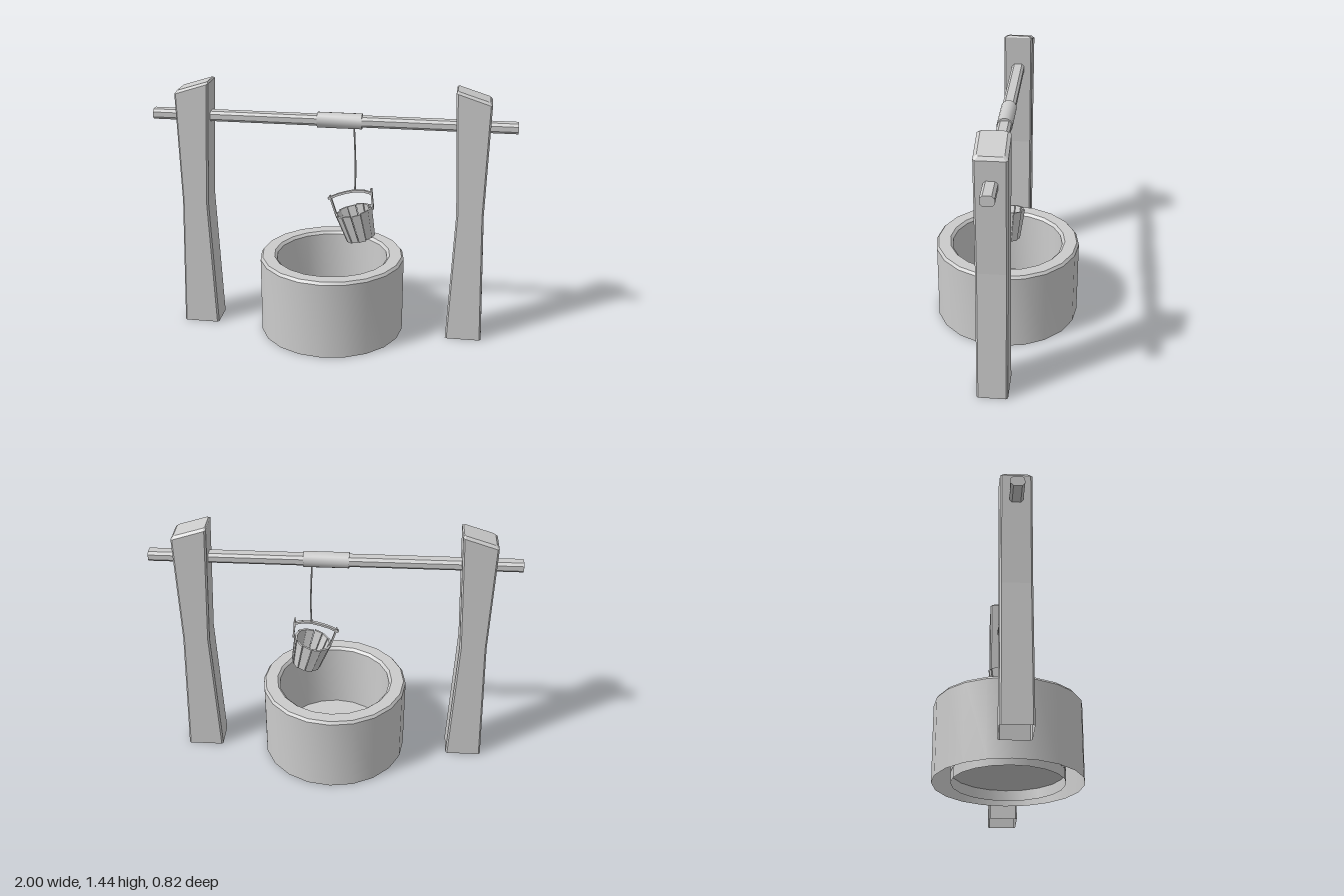
import * as THREE from 'three';
import { toCreasedNormals } from 'three/addons/utils/BufferGeometryUtils.js';

const flat = new THREE.MeshStandardMaterial({ color: 0xcccccc, flatShading: true, side: THREE.DoubleSide });
const smooth = new THREE.MeshStandardMaterial({ color: 0xcccccc, side: THREE.DoubleSide });

function part(parent, name, geometry, material = flat) {
  const mesh = new THREE.Mesh(geometry, material);
  mesh.name = name;
  parent.add(mesh);
  return mesh;
}

// Skin a stack of equal-sized rings (counter-clockwise from above), with optional end caps
function loft(rings, capBottom, capTop) {
  const n = rings[0].length, index = [];
  for (let r = 0; r < rings.length - 1; r++) {
    for (let i = 0; i < n; i++) {
      const j = (i + 1) % n;
      const a = r * n + i, b = r * n + j, c = b + n, d = a + n;
      index.push(a, b, c, a, c, d);
    }
  }
  const top = (rings.length - 1) * n;
  for (let i = 1; i < n - 1; i++) {
    if (capBottom) index.push(0, i + 1, i);
    if (capTop) index.push(top, top + i, top + i + 1);
  }
  const geometry = new THREE.BufferGeometry();
  geometry.setAttribute('position', new THREE.Float32BufferAttribute(rings.flat(2), 3));
  geometry.setIndex(index);
  geometry.computeVertexNormals();
  return geometry;
}

// Chamfered rectangle in x/z whose height slopes from its outer to its inner side
function postRing(yOuter, yInner, outer, inner, h, c) {
  return [
    [outer, h - c], [outer, c - h], [outer - c, -h], [inner + c, -h],
    [inner, c - h], [inner, h - c], [inner + c, h], [outer - c, h],
  ].map(([x, z]) => [x, yOuter + (outer - x) / (outer - inner) * (yInner - yOuter), z]);
}

// Flat bar between two points of the front plane
function bar(parent, name, [x0, y0], [x1, y1], thick, depth) {
  const dx = x1 - x0, dy = y1 - y0;
  const mesh = part(parent, name, new THREE.BoxGeometry(thick, Math.hypot(dx, dy), depth));
  mesh.position.set((x0 + x1) / 2, (y0 + y1) / 2, 0);
  mesh.rotation.z = -Math.atan2(dx, dy);
}

function makeBucket() {
  const bucket = new THREE.Group();
  bucket.name = 'bucket';

  // Tilted tub of separate staves
  const tub = new THREE.Group();
  tub.name = 'tub';
  tub.position.set(0.163, 0.56, 0);
  tub.rotation.z = 0.26;
  bucket.add(tub);
  const count = 12, height = 0.166, thick = 0.012;
  for (let i = 0; i < count; i++) {
    const a0 = (i + 0.04) / count * Math.PI * 2, a1 = (i + 0.96) / count * Math.PI * 2;
    const lift = i % 2 ? 0.003 : 0;
    const ring = (r, y) => [[r, a0], [r + 0.004, a1], [r + 0.004 - thick, a1], [r - thick, a0]]
      .map(([q, a]) => [q * Math.cos(a), y, -q * Math.sin(a)]);
    part(tub, 'stave', loft([ring(0.08, -lift), ring(0.104, height - lift)], true, true));
  }
  const base = part(tub, 'tubBase', new THREE.CylinderGeometry(0.076, 0.074, 0.014, count));
  base.position.y = 0.018;

  // Ears and the arched handle
  bar(bucket, 'ear', [0.03, 0.67], [-0.013, 0.80], 0.009, 0.022);
  bar(bucket, 'ear', [0.232, 0.735], [0.219, 0.855], 0.009, 0.022);
  const arch = [[-0.022, 0.782], [0.03, 0.808], [0.08, 0.825], [0.13, 0.837], [0.18, 0.837], [0.228, 0.825]];
  for (let i = 0; i < arch.length - 1; i++) bar(bucket, 'handle', arch[i], arch[i + 1], 0.012, 0.018);
  return bucket;
}

export function createModel() {
  const model = new THREE.Group();
  model.name = 'well';

  // Round wall, hollow below, bevelled rim
  const wall = [[0.41, 0], [0.41, 0.438], [0.398, 0.453], [0.33, 0.453], [0.315, 0.438], [0.308, 0]]
    .map(([r, y]) => new THREE.Vector2(r, y));
  part(model, 'wellWall', toCreasedNormals(new THREE.LatheGeometry(wall, 20), 0.5), smooth);
  const floor = part(model, 'wellFloor', new THREE.CircleGeometry(0.31, 20));
  floor.rotation.x = -Math.PI / 2;
  floor.position.y = 0.06;

  // Two waisted posts with sloping tops
  const post = loft([
    postRing(0, 0, 0.866, 0.663, 0.083, 0.009),
    postRing(0.75, 0.75, 0.843, 0.695, 0.082, 0.009),
    postRing(1.37, 1.432, 0.858, 0.667, 0.083, 0.009),
    postRing(1.388, 1.442, 0.845, 0.674, 0.066, 0.009),
  ], false, true);
  part(model, 'leftPost', post);
  part(model, 'rightPost', post).rotation.y = Math.PI;

  // Pole through the posts, an upright chamfered bar laid on its side
  const poleRing = y => postRing(y, y, 0.028, -0.028, 0.036, 0.014);
  const pole = part(model, 'pole', loft([poleRing(-1), poleRing(1)], true, true));
  pole.rotation.z = Math.PI / 2;
  pole.position.y = 1.238;

  // Rope winding on the pole
  const winding = new THREE.CylinderGeometry(0.043, 0.043, 0.245, 16);
  const coil = part(model, 'ropeWinding', toCreasedNormals(winding, 0.6), smooth);
  coil.rotation.z = Math.PI / 2;
  coil.position.set(0.043, 1.238, 0);

  // Hanging rope
  const path = new THREE.CatmullRomCurve3(
    [[0.121, 1.21], [0.127, 1.08], [0.131, 0.95], [0.128, 0.835]].map(([x, y]) => new THREE.Vector3(x, y, 0)));
  part(model, 'rope', new THREE.TubeGeometry(path, 8, 0.005, 6), smooth);

  model.add(makeBucket());
  return model;
}
